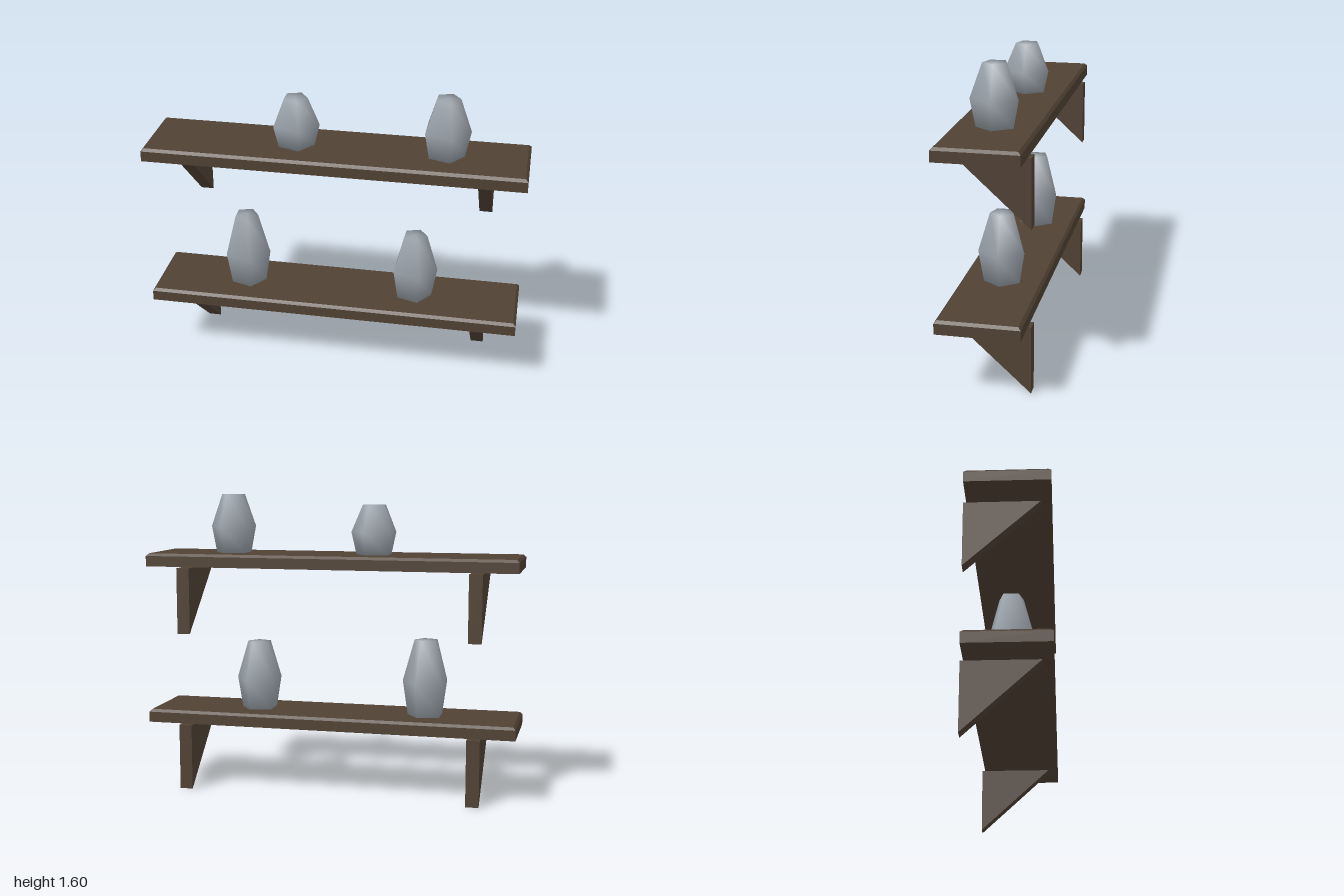
import * as THREE from 'three';

const wood = new THREE.MeshStandardMaterial({ color: 0x504134 });
wood.name = 'darkWood';
const ceramic = new THREE.MeshStandardMaterial({ color: 0x9aa2aa });
ceramic.name = 'greyCeramic';

function addMesh(parent, name, geometry, material, x, y, z) {
  const mesh = new THREE.Mesh(geometry, material);
  mesh.name = name;
  mesh.position.set(x, y, z);
  parent.add(mesh);
  return mesh;
}

// Board: straight sides below, a narrow chamfer around the top edge
function boardGeometry(w, h, d, c) {
  const ring = (inset, y) => {
    const x = w / 2 - inset, z = d / 2 - inset;
    return [[-x, y, z], [x, y, z], [x, y, -z], [-x, y, -z]];
  };
  const rings = [ring(0, 0), ring(0, h - c), ring(c, h)];
  const pos = [];
  const quad = (a, b, e, f) => pos.push(...a, ...b, ...e, ...a, ...e, ...f);
  for (let r = 0; r < 2; r++) {
    for (let i = 0; i < 4; i++) {
      const j = (i + 1) % 4;
      quad(rings[r][i], rings[r][j], rings[r + 1][j], rings[r + 1][i]);
    }
  }
  quad(...rings[2]);
  quad(...[...rings[0]].reverse());
  const geometry = new THREE.BufferGeometry();
  geometry.setAttribute('position', new THREE.Float32BufferAttribute(pos, 3));
  geometry.computeVertexNormals();
  return geometry;
}

// Triangular bracket: profile in (z, y), extruded across x
function bracketGeometry() {
  const shape = new THREE.Shape([
    new THREE.Vector2(-0.165, 0.354),
    new THREE.Vector2(0.22, 0.354),
    new THREE.Vector2(0.22, 0),
  ]);
  const geometry = new THREE.ExtrudeGeometry(shape, { depth: 0.07, bevelEnabled: false });
  geometry.translate(0, 0, -0.035);
  geometry.rotateY(Math.PI / 2);
  return geometry;
}

// Five-sided vase with smooth shading, one corner toward +x
function vaseGeometry(height) {
  const profile = [[0, 0], [0.099, 0], [0.127, 0.45 * height], [0.065, height], [0, height]];
  return new THREE.LatheGeometry(profile.map(([r, y]) => new THREE.Vector2(r, y)), 5, Math.PI / 2);
}

export function createModel() {
  const model = new THREE.Group();
  model.name = 'wallShelves';

  const board = boardGeometry(2, 0.07, 0.425, 0.014);
  const bracket = bracketGeometry();
  const shelves = [
    { name: 'lowerShelf', y: 0, vases: [[-0.502, 0.408], [0.428, 0.37]] },
    { name: 'upperShelf', y: 0.857, vases: [[-0.217, 0.263], [0.568, 0.315]] },
  ];

  for (const { name, y, vases } of shelves) {
    const shelf = new THREE.Group();
    shelf.name = name;
    shelf.position.y = y;
    model.add(shelf);

    addMesh(shelf, 'board', board, wood, 0, 0.36, 0.0075);
    addMesh(shelf, 'leftBracket', bracket, wood, 0.785, 0, 0);
    addMesh(shelf, 'rightBracket', bracket, wood, -0.785, 0, 0);
    for (const [x, height] of vases) {
      addMesh(shelf, 'vase', vaseGeometry(height), ceramic, x, 0.43, 0.006);
    }
  }
  return model;
}
